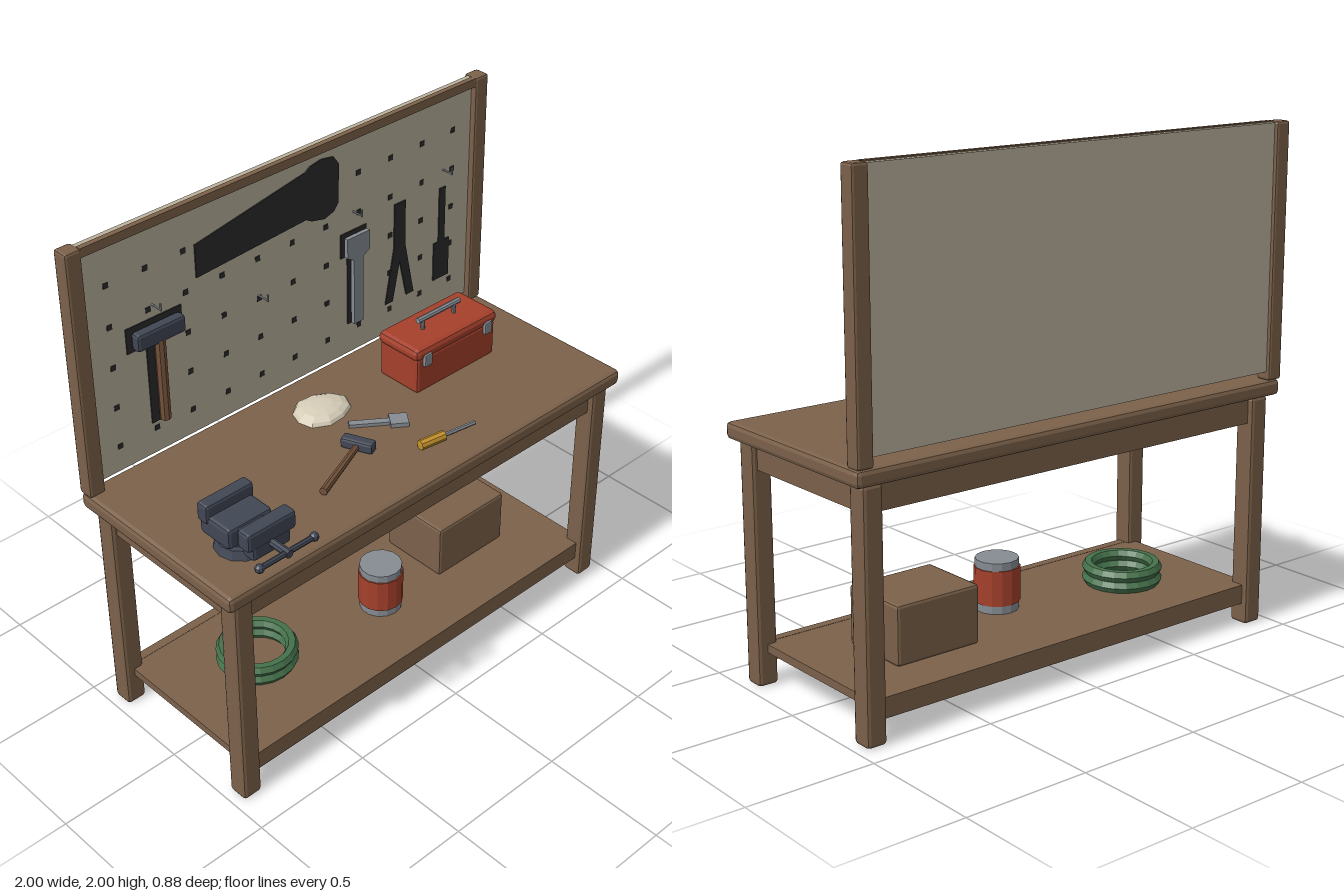
import * as THREE from 'three';
import { RoundedBoxGeometry } from 'three/addons/geometries/RoundedBoxGeometry.js';

const mat = (name, color) => {
  const m = new THREE.MeshStandardMaterial({ color });
  m.name = name;
  return m;
};

export function createModel() {
  const root = new THREE.Group();
  root.name = 'workbench';
  const wood = mat('wood', 0x7b614a), handleWood = mat('handle wood', 0x74523b);
  const board = mat('pegboard', 0xbab19c), dark = mat('shadow black', 0x2b2b2b);
  const iron = mat('dark iron', 0x414755), steel = mat('steel', 0x868c93);
  const red = mat('red paint', 0xa5402b), green = mat('green hose', 0x44704a);
  const yellow = mat('yellow grip', 0xc4922c), cream = mat('cream cloth', 0xd6cdb8);

  const group = (name, x = 0, y = 0, z = 0, ry = 0) => {
    const g = new THREE.Group();
    g.name = name;
    g.position.set(x, y, z);
    g.rotation.y = ry;
    root.add(g);
    return g;
  };
  // Every surface is faceted
  const add = (parent, name, geo, material) => {
    const g = geo.index ? geo.toNonIndexed() : geo;
    g.computeVertexNormals();
    const m = new THREE.Mesh(g, material);
    m.name = name;
    parent.add(m);
    return m;
  };
  // Box given by its limits, with chamfered edges when bevel > 0
  const box = (parent, name, material, [x0, x1], [y0, y1], [z0, z1], bevel = 0) => {
    const s = [x1 - x0, y1 - y0, z1 - z0];
    const g = bevel ? new RoundedBoxGeometry(...s, 1, bevel) : new THREE.BoxGeometry(...s);
    g.translate((x0 + x1) / 2, (y0 + y1) / 2, (z0 + z1) / 2);
    return add(parent, name, g, material);
  };
  // Cylinder along an axis
  const rod = (parent, name, material, axis, r, len, x, y, z, sides = 8, r2 = r) => {
    const g = new THREE.CylinderGeometry(r, r2, len, sides);
    if (axis === 'x') g.rotateZ(-Math.PI / 2);
    if (axis === 'z') g.rotateX(Math.PI / 2);
    return add(parent, name, g.translate(x, y, z), material);
  };
  // Flat outline standing against the board
  const plate = (parent, name, material, pts, z, depth) => {
    const shape = new THREE.Shape(pts.map(p => new THREE.Vector2(...p)));
    const g = new THREE.ExtrudeGeometry(shape, { depth, bevelEnabled: false });
    return add(parent, name, g.translate(0, 0, z), material);
  };

  // Bench frame
  const bench = group('bench');
  box(bench, 'benchTop', wood, [-1, 1], [0.935, 1], [-0.437, 0.387], 0.018);
  for (const s of [-1, 1]) {
    const xs = (a, b) => s < 0 ? [-b, -a] : [a, b];
    for (const z of [-0.41, 0.278])
      box(bench, 'leg', wood, xs(0.877, 0.96), [0, 0.936], [z, z + 0.084], 0.014);
    box(bench, 'sideApron', wood, xs(0.9, 0.937), [0.83, 0.937], [-0.34, 0.29]);
  }
  for (const z of [-0.387, 0.3]) {
    box(bench, 'longApron', wood, [-0.89, 0.89], [0.83, 0.937], [z, z + 0.037]);
    box(bench, 'shelfRail', wood, [-0.89, 0.89], [0.085, 0.163], [z, z + 0.037]);
  }
  box(bench, 'shelf', wood, [-0.92, 0.92], [0.13, 0.162], [-0.385, 0.335]);

  // Pegboard with its frame and holes
  const back = group('pegboardFrame');
  box(back, 'pegboardPanel', board, [-0.935, 0.935], [1.035, 1.995], [-0.425, -0.4]);
  box(back, 'topRail', wood, [-0.935, 0.935], [1.965, 2], [-0.4, -0.378]);
  for (const x of [-1, 0.932])
    box(back, 'post', wood, [x, x + 0.068], [1, 2], [-0.44, -0.375], 0.01);
  for (let i = 0; i < 11; i++) for (let j = 0; j < 5; j++) {
    const x = -0.835 + i * 0.167, y = 1.14 + j * 0.167;
    box(back, 'pegHole', dark, [x - 0.011, x + 0.011], [y - 0.011, y + 0.011], [-0.401, -0.398]);
  }
  for (const [x, y] of [[-0.65, 1.655], [-0.167, 1.485], [0.305, 1.655], [0.785, 1.655]]) {
    rod(back, 'hookArm', steel, 'z', 0.004, 0.05, x, y, -0.374, 6);
    rod(back, 'hookTip', steel, 'y', 0.004, 0.03, x, y + 0.011, -0.35, 6);
  }

  // Painted tool outlines
  const outlines = group('toolOutlines');
  const outline = (name, pts) => plate(outlines, name, dark, pts, -0.4, 0.005);
  outline('sawOutline', [[-0.452, 1.813], [-0.452, 1.68], [0.067, 1.711], [0.094, 1.695], [0.158, 1.68],
    [0.206, 1.695], [0.227, 1.722], [0.233, 1.882], [0.206, 1.92], [0.147, 1.93], [0.09, 1.92], [0.067, 1.904]]);
  outline('hammerOutline', [[-0.773, 1.604], [-0.773, 1.503], [-0.69, 1.503], [-0.69, 1.17],
    [-0.607, 1.17], [-0.607, 1.503], [-0.527, 1.503], [-0.527, 1.604]]);
  outline('wrenchOutline', [[0.238, 1.577], [0.238, 1.475], [0.272, 1.475], [0.272, 1.17],
    [0.336, 1.17], [0.336, 1.475], [0.371, 1.475], [0.371, 1.577]]);
  outline('pliersOutline', [[0.521, 1.6], [0.521, 1.41], [0.475, 1.17], [0.515, 1.17], [0.551, 1.34],
    [0.59, 1.17], [0.63, 1.17], [0.58, 1.41], [0.58, 1.6]]);
  outline('screwdriverOutline', [[0.767, 1.578], [0.767, 1.34], [0.741, 1.34], [0.741, 1.17],
    [0.826, 1.17], [0.826, 1.34], [0.8, 1.34], [0.8, 1.578]]);

  // Tools hanging on the board
  const hung = group('hangingTools');
  box(hung, 'hangingHammerHead', iron, [-0.757, -0.543], [1.52, 1.59], [-0.392, -0.35], 0.012);
  rod(hung, 'hangingHammerHandle', handleWood, 'y', 0.021, 0.34, -0.65, 1.36, -0.369);
  plate(hung, 'hangingWrench', steel, [[0.247, 1.567], [0.247, 1.485], [0.28, 1.465], [0.28, 1.18],
    [0.328, 1.18], [0.328, 1.465], [0.362, 1.485], [0.362, 1.567]], -0.385, 0.018);

  // Vise
  const vise = group('vise', -0.77, 1, 0);
  rod(vise, 'viseBase', iron, 'y', 0.09, 0.036, 0, 0.018, 0.18, 12, 0.1);
  rod(vise, 'viseSwivel', iron, 'y', 0.068, 0.03, 0, 0.048, 0.18, 12);
  box(vise, 'viseBody', iron, [-0.1, 0.1], [0.05, 0.135], [0.08, 0.235], 0.014);
  box(vise, 'viseSlide', iron, [-0.06, 0.06], [0.06, 0.125], [0.2, 0.31], 0.01);
  box(vise, 'rearJaw', iron, [-0.108, 0.108], [0.105, 0.183], [0.077, 0.13], 0.012);
  box(vise, 'frontJaw', iron, [-0.108, 0.108], [0.11, 0.185], [0.29, 0.35], 0.012);
  box(vise, 'frontJawBlock', iron, [-0.085, 0.085], [0.06, 0.125], [0.287, 0.347], 0.012);
  rod(vise, 'viseScrew', iron, 'z', 0.016, 0.1, 0, 0.103, 0.385);
  rod(vise, 'viseHandle', iron, 'x', 0.011, 0.25, 0, 0.103, 0.421);
  for (const s of [-1, 1])
    add(vise, 'handleKnob', new THREE.SphereGeometry(0.018, 8, 6).translate(s * 0.122, 0.103, 0.421), iron);

  // Toolbox
  const toolbox = group('toolbox', 0.515, 1, -0.143);
  box(toolbox, 'toolboxBody', red, [-0.213, 0.213], [0, 0.155], [-0.102, 0.102], 0.012);
  box(toolbox, 'toolboxLid', red, [-0.222, 0.222], [0.145, 0.197], [-0.108, 0.108], 0.02);
  rod(toolbox, 'toolboxHandle', steel, 'x', 0.012, 0.226, 0, 0.243, 0);
  for (const s of [-1, 1]) {
    rod(toolbox, 'handleSupport', steel, 'y', 0.008, 0.05, s * 0.085, 0.218, 0);
    box(toolbox, 'latch', steel, [s * 0.165 - 0.019, s * 0.165 + 0.019], [0.118, 0.17], [0.1, 0.117], 0.004);
  }

  // Hammer lying on the bench, handle along local x
  const hammer = group('benchHammer', -0.1, 1, 0.057, 0.4);
  rod(hammer, 'benchHammerHandle', handleWood, 'x', 0.013, 0.3, -0.16, 0.018, 0, 8, 0.016);
  box(hammer, 'benchHammerHead', iron, [-0.023, 0.023], [0, 0.044], [-0.065, 0.065], 0.01);

  // Flat scraper
  const scraper = group('scraper', -0.03, 1, -0.07, -0.62);
  box(scraper, 'scraperBar', steel, [0, 0.17], [0, 0.014], [-0.014, 0.014]);
  box(scraper, 'scraperHead', steel, [0.155, 0.225], [0, 0.018], [-0.034, 0.034]);

  // Screwdriver
  const driver = group('screwdriver', 0.06, 1, 0.218, -0.15);
  rod(driver, 'screwdriverGrip', yellow, 'x', 0.02, 0.11, 0.055, 0.019, 0);
  rod(driver, 'screwdriverShaft', steel, 'x', 0.008, 0.15, 0.18, 0.019, 0, 6);

  // Crumpled cloth: a low dome with an uneven rim
  const cloth = new THREE.SphereGeometry(1, 10, 4, 0, Math.PI * 2, 0, Math.PI / 2);
  const p = cloth.attributes.position;
  for (let i = 0; i < p.count; i++) {
    const a = Math.atan2(p.getZ(i), p.getX(i)), k = 1 + 0.05 * Math.sin(3 * a + 1);
    p.setXYZ(i, p.getX(i) * 0.122 * k, p.getY(i) * (0.036 + 0.006 * Math.sin(5 * a)), p.getZ(i) * 0.098 * k);
  }
  add(group('rag', -0.035, 1, -0.215), 'cloth', cloth, cream);

  // Things on the shelf
  const stored = group('shelfItems');
  for (const y of [0.184, 0.228])
    add(stored, 'hoseCoil', new THREE.TorusGeometry(0.135, 0.025, 6, 20).rotateX(Math.PI / 2)
      .translate(-0.54, y, -0.045), green);
  rod(stored, 'canBody', red, 'y', 0.09, 0.14, 0.03, 0.265, 0.045, 14);
  rod(stored, 'canBase', steel, 'y', 0.085, 0.04, 0.03, 0.18, 0.045, 14);
  rod(stored, 'canLid', steel, 'y', 0.085, 0.035, 0.03, 0.349, 0.045, 14);
  box(stored, 'storageBox', wood, [0.315, 0.682], [0.162, 0.393], [-0.205, 0.092], 0.012);

  return root;
}
